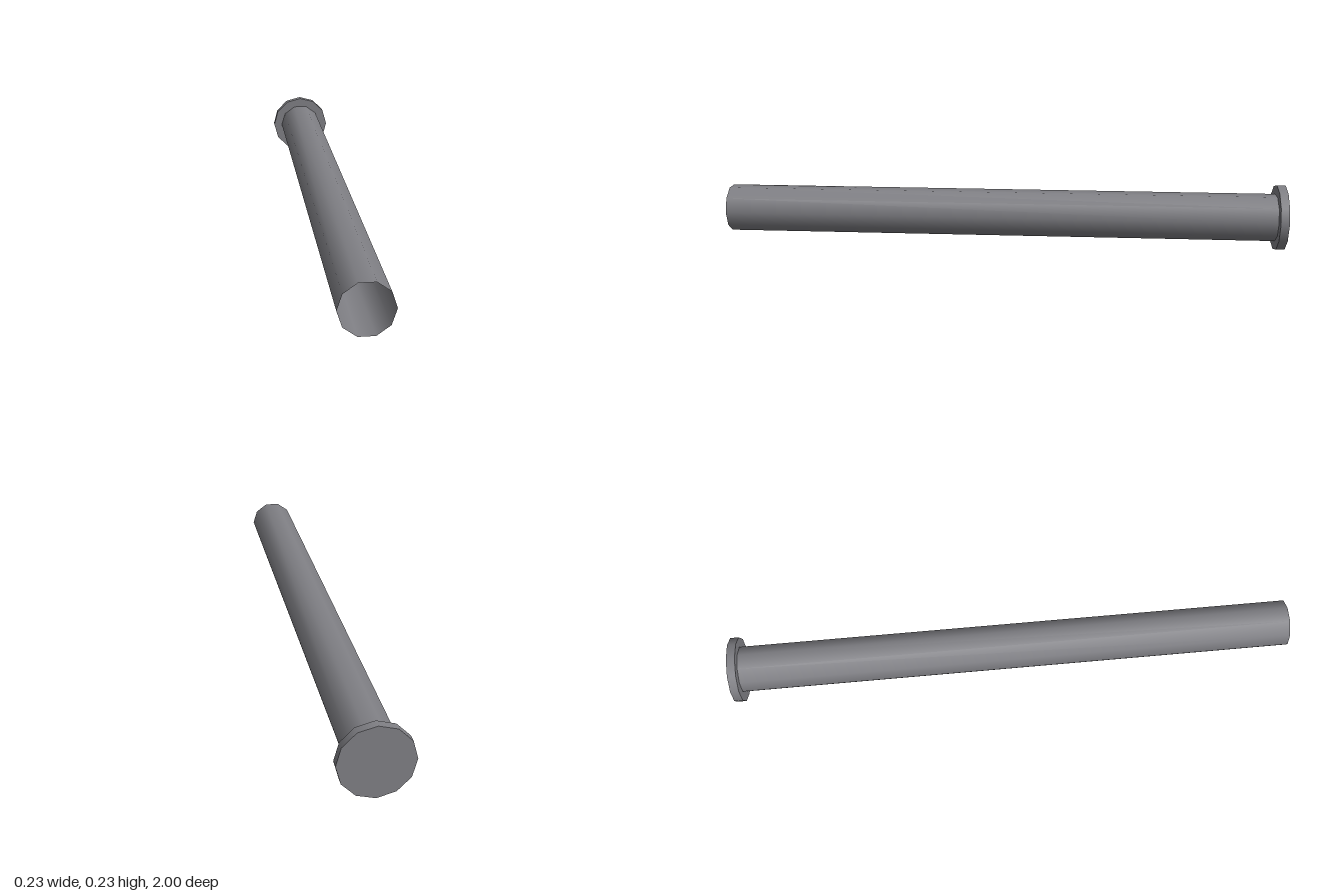
import * as THREE from 'three';

export function createModel() {
  const model = new THREE.Group();
  const steel = new THREE.MeshStandardMaterial({ color: 0x808085, side: THREE.DoubleSide });
  steel.name = 'grey steel';

  const axisHeight = 0.117;
  const flangeDepth = 0.03;

  // Adds a cylinder lying along z between two depths
  function addRod(name, radius, sides, zBack, zFront, open) {
    const geometry = new THREE.CylinderGeometry(
      radius, radius, zFront - zBack, sides, 1, open, Math.PI / 2);
    geometry.rotateX(Math.PI / 2);
    const mesh = new THREE.Mesh(geometry, steel);
    mesh.name = name;
    mesh.position.set(0, axisHeight, (zBack + zFront) / 2);
    model.add(mesh);
  }

  // Ten-sided hollow pipe, open at the front
  addRod('pipe', 0.084, 10, -1 + flangeDepth, 1, true);
  // Twelve-sided solid end disc
  addRod('endFlange', 0.117, 12, -1, -1 + flangeDepth, false);

  return model;
}
